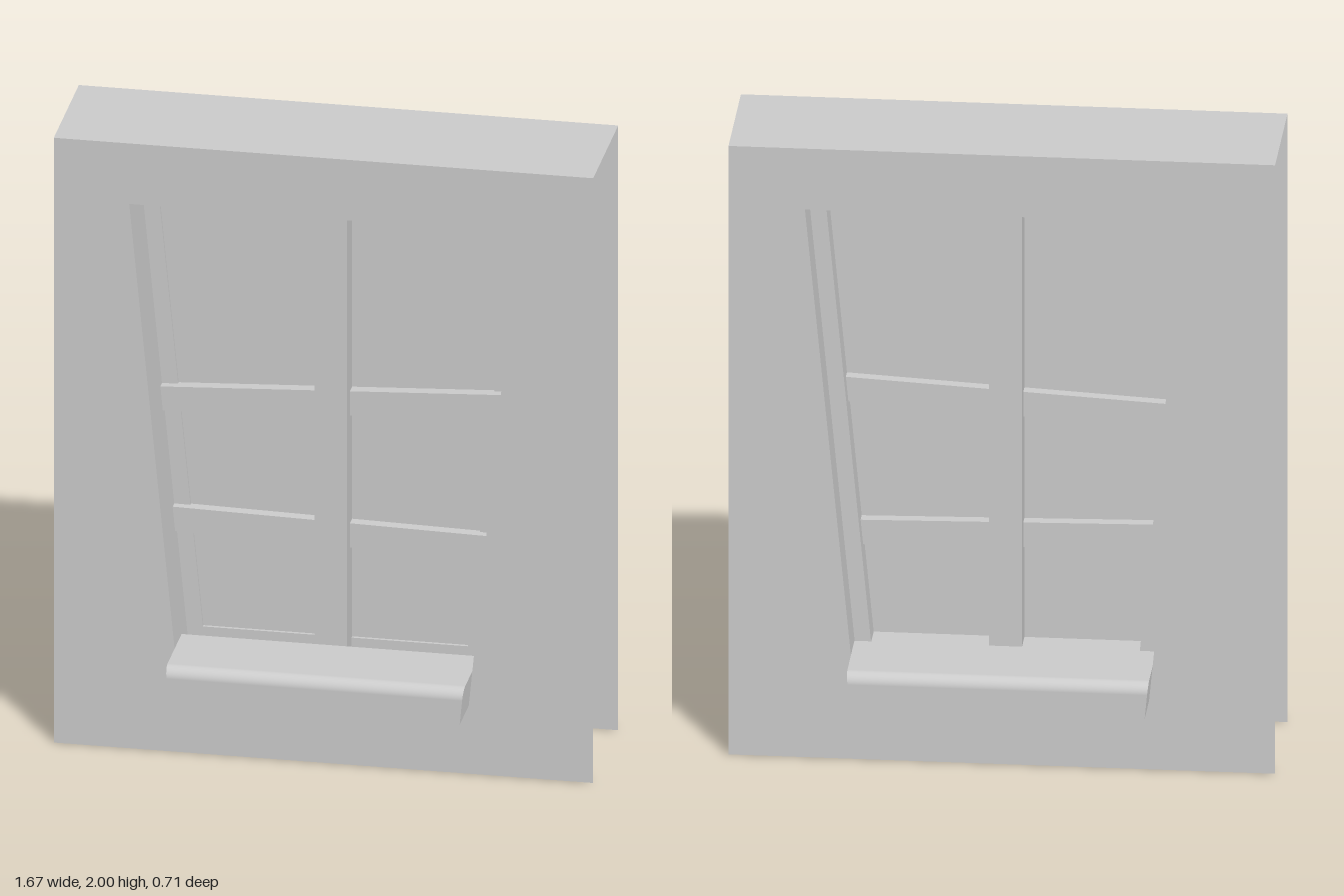
import * as THREE from 'three';

const material = new THREE.MeshStandardMaterial({ color: 0xcccccc, side: THREE.DoubleSide });

const WALL = { halfWidth: 0.833, height: 2, halfDepth: 0.205 };
const OPENING = { bottom: 0.3, top: 1.8 };

// The opening widens upwards: half its width at height y
const halfOpening = (y) => 0.6 - (1.8 - y) * 0.096;

// Tapered outline of the opening, moved inwards by the given insets
function openingPoints(side = 0, bottom = 0, top = 0) {
  const y0 = OPENING.bottom + bottom;
  const y1 = OPENING.top - top;
  const x0 = halfOpening(y0) - side;
  const x1 = halfOpening(y1) - side;
  return [[-x0, y0], [x0, y0], [x1, y1], [-x1, y1]].map(([x, y]) => new THREE.Vector2(x, y));
}

function addMesh(parent, name, geometry) {
  const mesh = new THREE.Mesh(geometry, material);
  mesh.name = name;
  parent.add(mesh);
  return mesh;
}

// Box without the pair of end faces on one axis (0 = x, 1 = y, 2 = z)
function openBox(width, height, depth, axis) {
  const geometry = new THREE.BoxGeometry(width, height, depth);
  const index = Array.from(geometry.index.array);
  index.splice(axis * 12, 12);
  geometry.setIndex(index);
  geometry.clearGroups();
  return geometry;
}

// Strip through the wall along a closed outline, facing into the opening
function revealGeometry(points, z) {
  const positions = [];
  points.forEach((a, i) => {
    const b = points[(i + 1) % points.length];
    positions.push(a.x, a.y, z, b.x, b.y, z, b.x, b.y, -z);
    positions.push(a.x, a.y, z, b.x, b.y, -z, a.x, a.y, -z);
  });
  const geometry = new THREE.BufferGeometry();
  geometry.setAttribute('position', new THREE.Float32BufferAttribute(positions, 3));
  geometry.computeVertexNormals();
  return geometry;
}

// Sill profile (depth, height) with a rounded outer edge, swept across the opening
function sillGeometry() {
  const inner = 0.09, outer = 0.355, bottom = 0.225, top = 0.34, r = 0.035;
  const shape = new THREE.Shape();
  shape.moveTo(inner, bottom);
  shape.lineTo(outer, bottom);
  shape.lineTo(outer, top - r);
  shape.absarc(outer - r, top - r, r, 0, Math.PI / 2, false);
  shape.lineTo(inner, top);
  shape.closePath();
  const geometry = new THREE.ExtrudeGeometry(shape, { depth: 2, bevelEnabled: false, curveSegments: 8 });
  geometry.translate(0, 0, -1);
  geometry.rotateY(-Math.PI / 2);
  // The ends follow the taper of the opening
  const p = geometry.attributes.position;
  for (let i = 0; i < p.count; i++) p.setX(i, p.getX(i) * halfOpening(p.getY(i)));
  // Smooth the rounded edge, keep the flat faces crisp
  const n = geometry.attributes.normal;
  for (let i = 0; i < p.count; i++) {
    if (Math.abs(n.getX(i)) > 0.5) continue;
    const dz = p.getZ(i) - (outer - r);
    const dy = p.getY(i) - (top - r);
    if (dz > -1e-4 && dy > -1e-4) n.setXYZ(i, 0, dy / r, dz / r);
  }
  return geometry;
}

export function createModel() {
  const model = new THREE.Group();
  model.name = 'wallWindow';

  // Wall: two pierced sheets and a top, open at the sides and below
  const wall = new THREE.Group();
  wall.name = 'wall';
  model.add(wall);
  const { halfWidth: w, height: h, halfDepth: d } = WALL;
  const face = new THREE.Shape([[-w, 0], [w, 0], [w, h], [-w, h]].map(([x, y]) => new THREE.Vector2(x, y)));
  face.holes.push(new THREE.Path(openingPoints().reverse()));
  const faceGeometry = new THREE.ShapeGeometry(face);
  addMesh(wall, 'frontFace', faceGeometry).position.z = d;
  const back = addMesh(wall, 'backFace', faceGeometry);
  back.position.z = -d;
  back.rotation.y = Math.PI;
  const top = addMesh(wall, 'topFace', new THREE.PlaneGeometry(2 * w, 2 * d));
  top.position.y = h;
  top.rotation.x = -Math.PI / 2;
  addMesh(wall, 'reveal', revealGeometry(openingPoints(), d));

  // Tapered frame and pane
  const rim = new THREE.Shape(openingPoints());
  rim.holes.push(new THREE.Path(openingPoints(0.05, 0.035, 0.05).reverse()));
  const frame = addMesh(model, 'frame', new THREE.ExtrudeGeometry(rim, { depth: 0.095, bevelEnabled: false }));
  frame.position.z = -0.085;
  addMesh(model, 'pane', new THREE.ShapeGeometry(new THREE.Shape(openingPoints())));

  // Upright post running into the wall above and below
  addMesh(model, 'mullion', openBox(0.1, 1.62, 0.17, 1)).position.y = 1.078;

  // Two slightly crooked crossbars, running into the wall on both sides
  for (const [name, y, slope] of [['upperCrossbar', 1.118, 0.053], ['lowerCrossbar', 0.685, -0.02]]) {
    const bar = addMesh(model, name, openBox(1.54, 0.08, 0.072, 0));
    bar.position.y = y;
    bar.rotation.z = Math.atan(slope);
  }

  // Matching sills on both faces
  const sill = sillGeometry();
  addMesh(model, 'frontSill', sill);
  addMesh(model, 'backSill', sill).rotation.y = Math.PI;

  return model;
}
